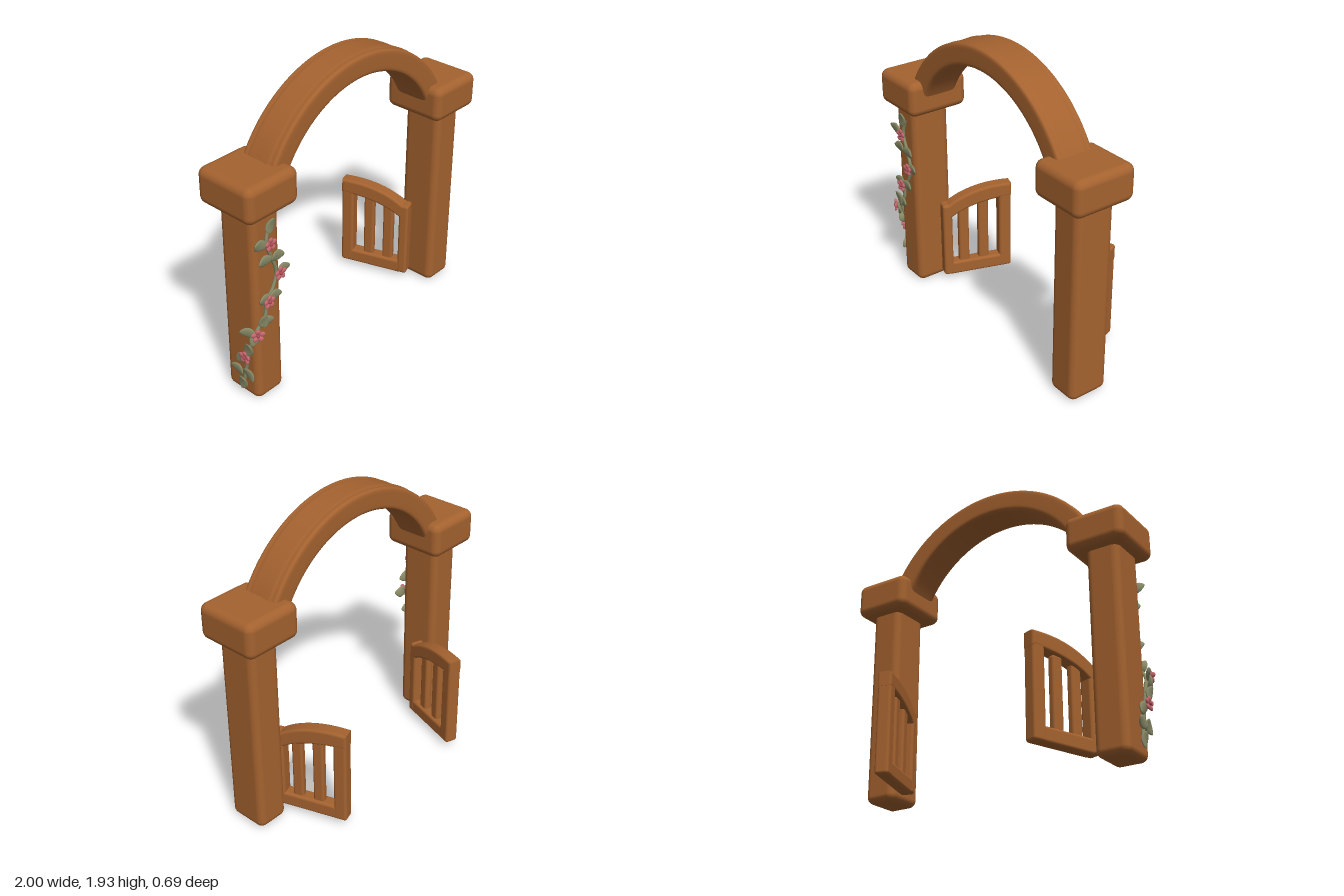
import * as THREE from 'three';
import { RoundedBoxGeometry } from 'three/addons/geometries/RoundedBoxGeometry.js';

const wood = new THREE.MeshStandardMaterial({ color: 0xa4622f });
const leafGreen = new THREE.MeshStandardMaterial({ color: 0x8a8c68 });
const petalPink = new THREE.MeshStandardMaterial({ color: 0xc9686e });
const centrePink = new THREE.MeshStandardMaterial({ color: 0xa84a52 });
for (const [m, n] of [[wood, 'wood'], [leafGreen, 'leafGreen'], [petalPink, 'petalPink'], [centrePink, 'centrePink']]) m.name = n;

function add(parent, name, geometry, material, x = 0, y = 0, z = 0) {
  const mesh = new THREE.Mesh(geometry, material);
  mesh.name = name;
  mesh.position.set(x, y, z);
  parent.add(mesh);
  return mesh;
}

function roundedBox(parent, name, w, h, d, r, x, y, z) {
  return add(parent, name, new RoundedBoxGeometry(w, h, d, 4, r), wood, x, y, z);
}

// Arch: a soft rectangle with shallow grooves on top, swept around a circle
function archGeometry() {
  const N = 64, M = 56, end = 0.33, pos = [], idx = [];
  const soft = (v) => Math.sign(v) * Math.abs(v) ** 0.3;
  for (let i = 0; i <= M; i++) {
    const a = end + (Math.PI - 2 * end) * (i / M);
    for (let j = 0; j < N; j++) {
      const t = (j / N) * Math.PI * 2;
      const u = soft(Math.cos(t));
      let r = 0.765 + 0.075 * soft(Math.sin(t));
      if (Math.sin(t) > 0.2) r -= 0.004 * (1 + Math.cos(u * Math.PI * 3 + 0.3 * Math.sin(a * 4)));
      pos.push(r * Math.cos(a), 1.102 + r * Math.sin(a), 0.135 + 0.125 * u);
      if (i < M) {
        const p = i * N + j, q = i * N + (j + 1) % N;
        idx.push(p, q, p + N, q, q + N, p + N);
      }
    }
  }
  const g = new THREE.BufferGeometry();
  g.setAttribute('position', new THREE.Float32BufferAttribute(pos, 3));
  g.setIndex(idx);
  g.computeVertexNormals();
  return g;
}

// Curved top rail of a gate, drawn along the leaf
function topRailGeometry() {
  const b = 0.015, s = new THREE.Shape();
  s.moveTo(0, 0.49);
  s.quadraticCurveTo(0.13, 0.60, 0.435, 0.61);
  s.lineTo(0.435, 0.675);
  s.quadraticCurveTo(0.17, 0.69, 0, 0.565);
  s.closePath();
  const depth = 0.09 - 2 * b;
  return new THREE.ExtrudeGeometry(s, {
    depth, bevelThickness: b, bevelSize: b, bevelSegments: 3, curveSegments: 16,
  }).translate(0, 0, -depth / 2);
}

// Open gate leaf; side is the sign of x
function makeGate(side) {
  const gate = new THREE.Group();
  gate.name = side > 0 ? 'leftGate' : 'rightGate';
  gate.position.set(side * 0.657, 0, 0.09);
  gate.rotation.y = Math.atan2(0.948, -side * 0.317);
  roundedBox(gate, 'hingeStile', 0.065, 0.545, 0.09, 0.018, 0, 0.318, 0);
  roundedBox(gate, 'endStile', 0.085, 0.63, 0.088, 0.018, 0.406, 0.358, 0);
  roundedBox(gate, 'bottomRail', 0.44, 0.095, 0.086, 0.018, 0.22, 0.09, 0);
  for (const u of [0.116, 0.255]) roundedBox(gate, 'gateBar', 0.072, 0.5, 0.05, 0.016, u, 0.335, 0);
  add(gate, 'gateTopRail', topRailGeometry(), wood);
  return gate;
}

// Pointed, flattened leaf growing along +y from its base
function leafGeometry() {
  const g = new THREE.SphereGeometry(1, 14, 10);
  const p = g.attributes.position;
  for (let i = 0; i < p.count; i++) {
    const y = p.getY(i), taper = 1 - 0.35 * Math.max(0, y) ** 2;
    p.setXYZ(i, p.getX(i) * 0.038 * taper, (y + 1) * 0.05, p.getZ(i) * 0.011 + 0.012 * y * y);
  }
  g.computeVertexNormals();
  return g;
}

function makeFlower() {
  const flower = new THREE.Group();
  flower.name = 'flower';
  const petal = new THREE.SphereGeometry(1, 10, 8).scale(0.018, 0.021, 0.01);
  for (let i = 0; i < 5; i++) {
    const a = (i / 5) * Math.PI * 2;
    const m = add(flower, 'petal', petal, petalPink, -Math.sin(a) * 0.024, Math.cos(a) * 0.024, 0);
    m.rotation.set(0.3, 0, a, 'ZYX');
  }
  add(flower, 'flowerCentre', new THREE.SphereGeometry(0.011, 10, 8), centrePink, 0, 0, 0.006);
  return flower;
}

function makeVine() {
  const vine = new THREE.Group();
  vine.name = 'vine';
  const v = (p) => new THREE.Vector3(...p);
  const path = new THREE.CatmullRomCurve3([
    [-0.80, 1.21, 0.287], [-0.83, 1.10, 0.29], [-0.79, 0.98, 0.29], [-0.76, 0.875, 0.29],
    [-0.79, 0.78, 0.29], [-0.84, 0.71, 0.29], [-0.86, 0.61, 0.29], [-0.925, 0.53, 0.28],
    [-0.935, 0.43, 0.245], [-0.935, 0.33, 0.22], [-0.935, 0.2, 0.19], [-0.935, 0.08, 0.165],
  ].map(v));
  add(vine, 'vineStem', new THREE.TubeGeometry(path, 70, 0.011, 8), leafGreen);

  // x, y, z of the base, roll in degrees, yaw in degrees
  const leaves = [
    [-0.82, 1.17, 0.30, -12, 0], [-0.85, 1.10, 0.30, 65, 0],
    [-0.81, 1.00, 0.30, 88, 0], [-0.81, 1.00, 0.30, -100, 0],
    [-0.77, 0.88, 0.30, -85, 0], [-0.84, 0.74, 0.30, -95, 0], [-0.82, 0.73, 0.30, 75, 0],
    [-0.87, 0.56, 0.30, 25, 0], [-0.91, 0.585, 0.30, -90, 0],
    [-0.92, 0.54, 0.30, 155, -25], [-0.93, 0.52, 0.29, 80, -60],
    [-0.95, 0.36, 0.23, -20, -90], [-0.95, 0.33, 0.21, 130, -90],
    [-0.95, 0.24, 0.20, -140, -90], [-0.95, 0.19, 0.19, 70, -90], [-0.95, 0.16, 0.18, 170, -90],
  ];
  const leaf = leafGeometry();
  for (const [x, y, z, roll, yaw] of leaves) {
    const m = add(vine, 'leaf', leaf, leafGreen, x, y, z);
    m.rotation.set(0.12, THREE.MathUtils.degToRad(yaw), THREE.MathUtils.degToRad(roll), 'YXZ');
  }

  // x, y, z and yaw in degrees
  const flowers = [
    [-0.82, 1.10, 0.315, 0], [-0.755, 0.875, 0.318, 0], [-0.845, 0.72, 0.316, 0],
    [-0.94, 0.53, 0.312, -30], [-0.965, 0.335, 0.22, -90],
  ];
  for (const [x, y, z, yaw] of flowers) {
    const f = makeFlower();
    f.position.set(x, y, z);
    f.rotation.y = THREE.MathUtils.degToRad(yaw);
    vine.add(f);
  }
  return vine;
}

export function createModel() {
  const model = new THREE.Group();
  model.name = 'gardenArch';
  for (const side of [-1, 1]) {
    roundedBox(model, 'post', 0.215, 1.36, 0.268, 0.045, side * 0.817, 0.685, 0.146);
    roundedBox(model, 'postCap', 0.388, 0.23, 0.418, 0.05, side * 0.806, 1.405, 0.139);
    model.add(makeGate(side));
  }
  add(model, 'arch', archGeometry(), wood);
  model.add(makeVine());
  return model;
}
